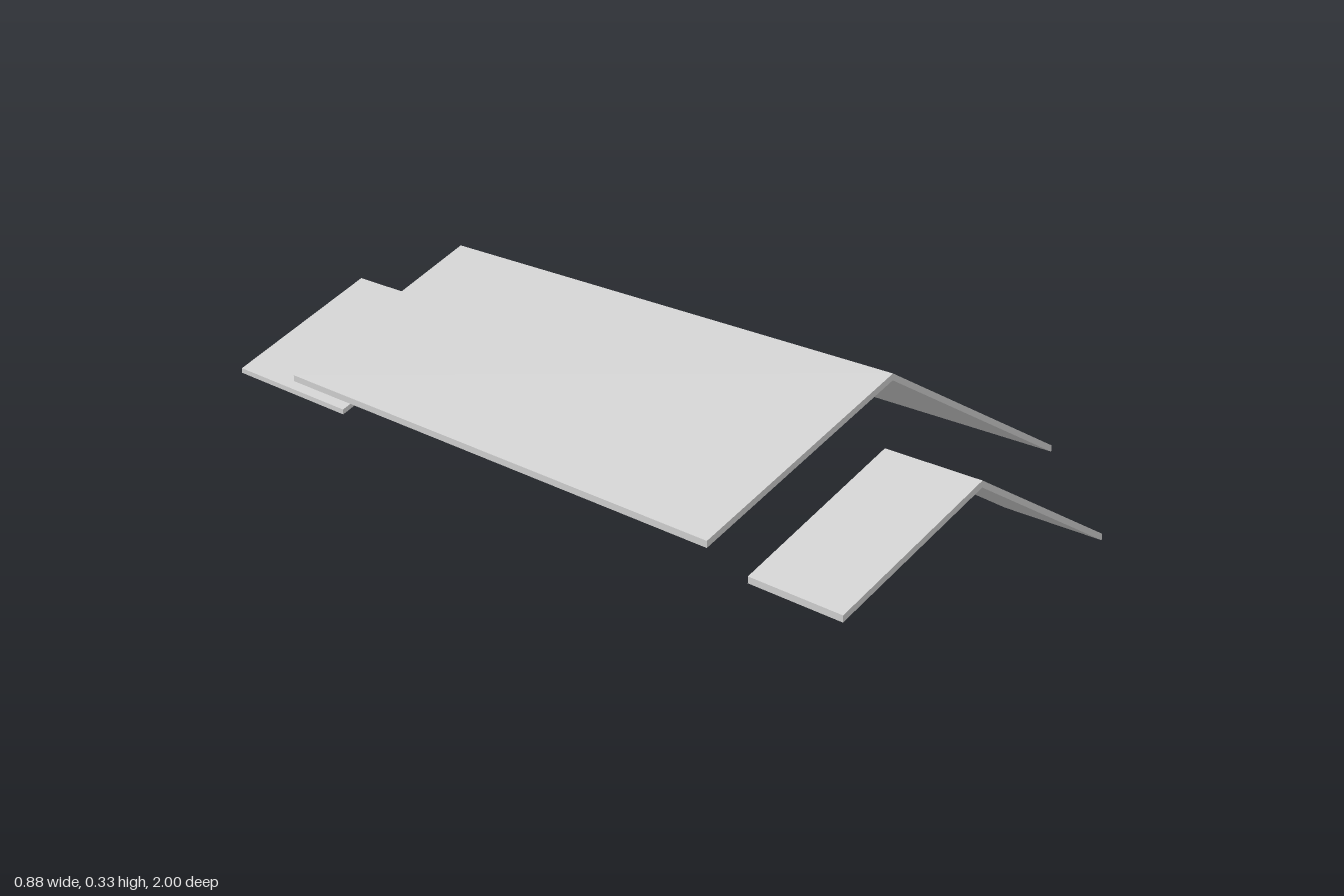
import * as THREE from 'three';

const material = new THREE.MeshStandardMaterial({ color: 0xcccccc, flatShading: true });

// Gabled roof slab: an inverted V with plumb-cut eaves, extruded along z
function gableRoof(name, { left, right, ridgeX, eaveY, ridgeY, thickness, back, front }) {
  const shape = new THREE.Shape([
    new THREE.Vector2(left, eaveY - thickness),
    new THREE.Vector2(ridgeX, ridgeY - thickness),
    new THREE.Vector2(right, eaveY - thickness),
    new THREE.Vector2(right, eaveY),
    new THREE.Vector2(ridgeX, ridgeY),
    new THREE.Vector2(left, eaveY),
  ]);
  const geometry = new THREE.ExtrudeGeometry(shape, { depth: front - back, bevelEnabled: false });
  geometry.translate(0, 0, back);
  const mesh = new THREE.Mesh(geometry, material);
  mesh.name = name;
  return mesh;
}

export function createModel() {
  const group = new THREE.Group();
  group.name = 'gabledRoofs';

  // Large raised roof over the middle
  group.add(gableRoof('mainRoof', {
    left: -0.442, right: 0.442, ridgeX: 0, eaveY: 0.106, ridgeY: 0.329, thickness: 0.013,
    back: -0.592, front: 0.768,
  }));

  // Lower, narrower roofs at both ends
  const lower = { left: -0.336, right: 0.327, ridgeX: -0.004 };
  group.add(gableRoof('frontRoof', {
    ...lower, eaveY: 0.013, ridgeY: 0.185, thickness: 0.013, back: 0.757, front: 1,
  }));
  group.add(gableRoof('backRoof', {
    ...lower, eaveY: 0.015, ridgeY: 0.179, thickness: 0.011, back: -1, front: -0.568,
  }));

  return group;
}
